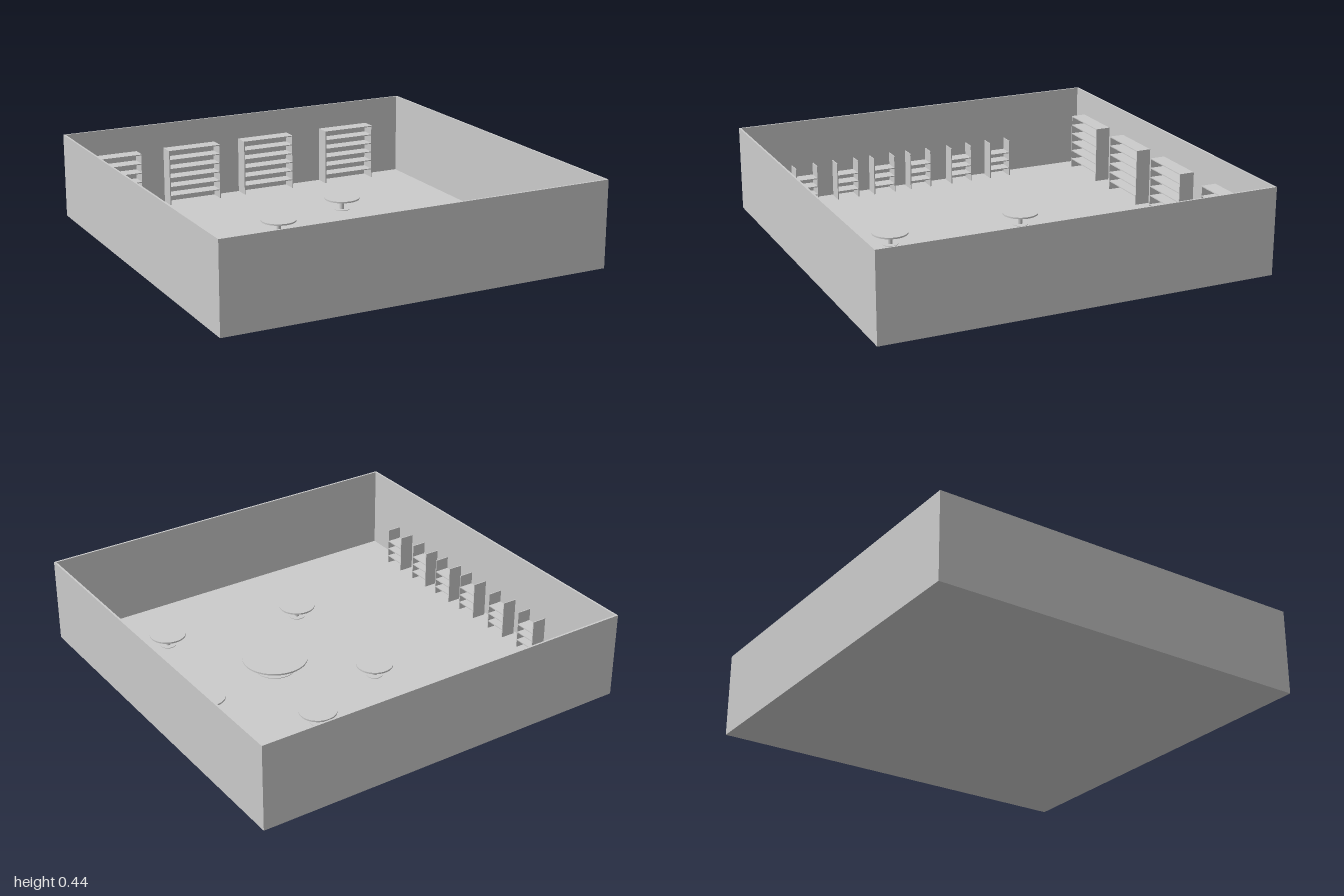
import * as THREE from 'three';

const material = new THREE.MeshStandardMaterial({ color: 0xcccccc });
const FLOOR = 0.006, WALL = 0.01, HEIGHT = 0.44;

function box(parent, name, size, pos) {
  const mesh = new THREE.Mesh(new THREE.BoxGeometry(...size), material);
  mesh.name = name;
  mesh.position.set(...pos);
  parent.add(mesh);
}

function disc(parent, name, radius, height, bottom) {
  const mesh = new THREE.Mesh(new THREE.CylinderGeometry(radius, radius, height, 48), material);
  mesh.name = name;
  mesh.position.y = bottom + height / 2;
  parent.add(mesh);
}

// Open shelf unit: two end panels along x joined by boards
function shelfUnit(name, width, depth, height, boards) {
  const unit = new THREE.Group();
  unit.name = name;
  const t = 0.005;
  for (const s of [-1, 1]) {
    box(unit, 'endPanel', [t, height, depth], [s * (width - t) / 2, height / 2, 0]);
  }
  for (const y of boards) {
    box(unit, 'board', [width - 2 * t, t, depth], [0, y - t / 2, 0]);
  }
  return unit;
}

// Round pedestal table
function table(name, radius, baseRadius, stemRadius) {
  const group = new THREE.Group();
  group.name = name;
  disc(group, 'tableBase', baseRadius, 0.003, 0);
  disc(group, 'tableStem', stemRadius, 0.055, 0.003);
  disc(group, 'tableTop', radius, 0.008, 0.058);
  return group;
}

export function createModel() {
  const model = new THREE.Group();
  model.name = 'room';

  // Floor and four walls
  box(model, 'floor', [2, FLOOR, 2], [0, FLOOR / 2, 0]);
  const wallHeight = HEIGHT - FLOOR, wallY = FLOOR + wallHeight / 2;
  for (const s of [-1, 1]) {
    box(model, 'sideWall', [WALL, wallHeight, 2], [s * (1 - WALL / 2), wallY, 0]);
    box(model, s > 0 ? 'frontWall' : 'backWall', [2 - 2 * WALL, wallHeight, WALL], [0, wallY, s * (1 - WALL / 2)]);
  }

  // Tall shelves along the back wall
  for (const x of [-0.75, -0.3, 0.14, 0.64]) {
    const shelf = shelfUnit('tallShelf', 0.297, 0.08, 0.3, [0.05, 0.1, 0.15, 0.2, 0.25, 0.3]);
    shelf.position.set(x, FLOOR, -0.95);
    model.add(shelf);
  }

  // Low racks along the side wall, end panels rising above the boards
  for (const z of [-0.46, -0.225, 0.018, 0.23, 0.44, 0.67]) {
    const rack = shelfUnit('lowRack', 0.123, 0.076, 0.2, [0.045, 0.09, 0.135]);
    rack.rotation.y = Math.PI / 2;
    rack.position.set(-0.937, FLOOR, z);
    model.add(rack);
  }

  // Five small tables around a large one
  for (const [x, z] of [[0.338, -0.423], [-0.135, -0.22], [0.714, -0.02], [-0.137, 0.497], [0.578, 0.612]]) {
    const small = table('smallTable', 0.0925, 0.04, 0.012);
    small.position.set(x, FLOOR, z);
    model.add(small);
  }
  const large = table('largeTable', 0.164, 0.1, 0.022);
  large.position.set(0.246, FLOOR, 0.106);
  model.add(large);

  return model;
}
